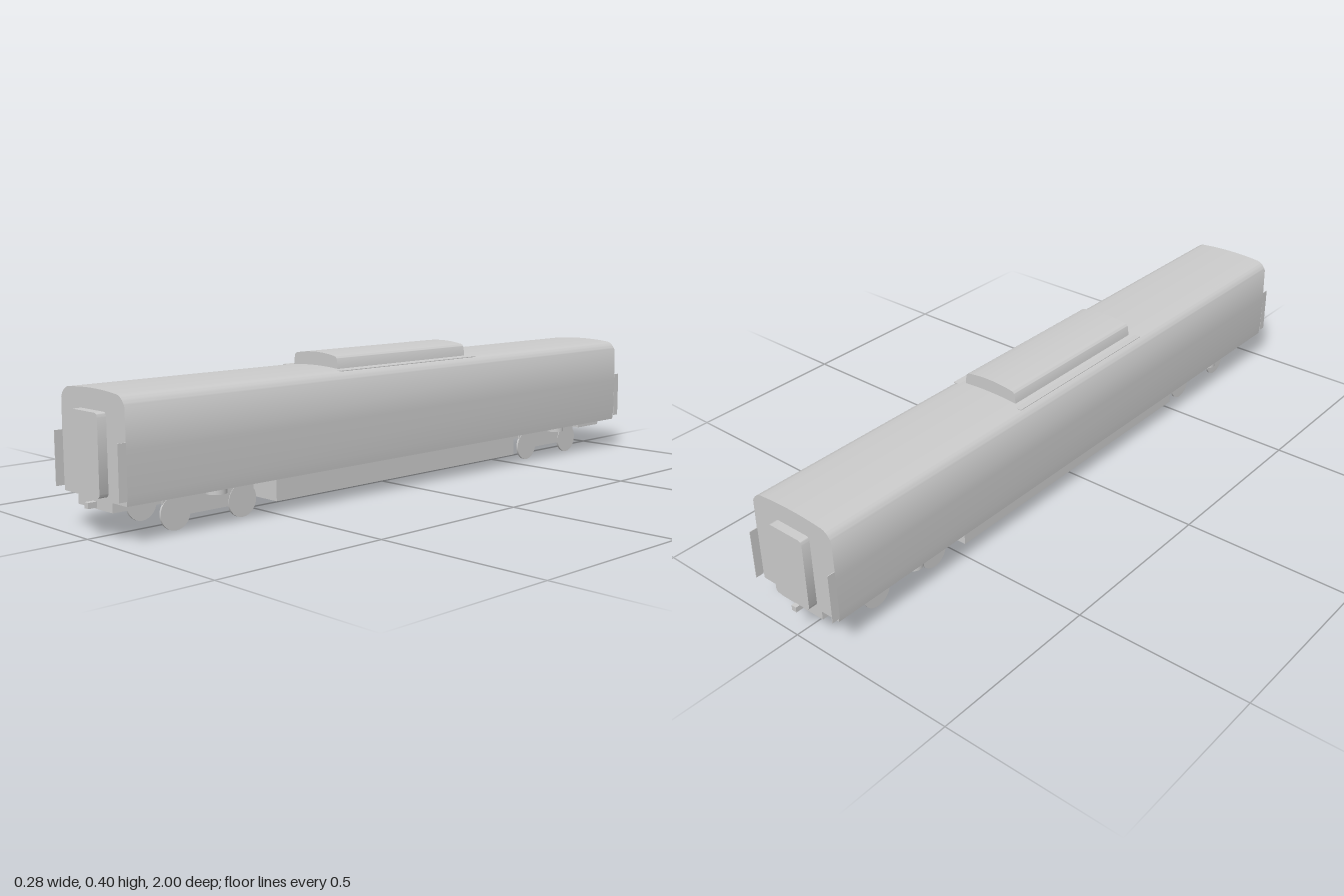
import * as THREE from 'three';
import { toCreasedNormals } from 'three/addons/utils/BufferGeometryUtils.js';

export function createModel() {
  const car = new THREE.Group();
  car.name = 'railCar';
  const grey = new THREE.MeshStandardMaterial({ color: 0xcccccc });
  const thin = new THREE.MeshStandardMaterial({ color: 0xcccccc, side: THREE.DoubleSide });

  const add = (name, geometry, x = 0, y = 0, z = 0, material = grey) => {
    const mesh = new THREE.Mesh(geometry, material);
    mesh.name = name;
    mesh.position.set(x, y, z);
    car.add(mesh);
    return mesh;
  };
  const box = (name, w, h, d, x, y, z) => add(name, new THREE.BoxGeometry(w, h, d), x, y, z);
  const extrude = (shape, depth) => {
    const g = new THREE.ExtrudeGeometry(shape, { depth, bevelEnabled: false, curveSegments: 10 });
    g.translate(0, 0, -depth / 2);
    return toCreasedNormals(g, 0.6);
  };

  // Body shell with slightly bowed sides and an arched roof
  const body = new THREE.Shape();
  body.moveTo(-0.136, 0.097);
  body.lineTo(0.136, 0.097);
  body.lineTo(0.139, 0.125);
  body.lineTo(0.14, 0.23);
  body.lineTo(0.138, 0.333);
  body.quadraticCurveTo(0.128, 0.355, 0.108, 0.3595);
  body.quadraticCurveTo(0, 0.371, -0.108, 0.3595);
  body.quadraticCurveTo(-0.128, 0.355, -0.138, 0.333);
  body.lineTo(-0.14, 0.23);
  body.lineTo(-0.139, 0.125);
  add('body', extrude(body, 1.95));

  // Roof equipment housing on a thin base plate
  const housing = new THREE.Shape();
  housing.moveTo(-0.091, 0.358);
  housing.lineTo(0.091, 0.358);
  housing.lineTo(0.087, 0.386);
  housing.quadraticCurveTo(0.085, 0.394, 0.075, 0.396);
  housing.quadraticCurveTo(0, 0.409, -0.075, 0.396);
  housing.quadraticCurveTo(-0.085, 0.394, -0.087, 0.386);
  add('roofHousing', extrude(housing, 0.52));
  box('roofPlate', 0.244, 0.002, 0.55, 0, 0.359, 0);

  // Underfloor skirt, open at the bottom
  for (const s of [-1, 1]) {
    add('skirtSide', new THREE.PlaneGeometry(0.98, 0.067).rotateY(Math.PI / 2), s * 0.1, 0.0635, 0, thin);
    add('skirtEnd', new THREE.PlaneGeometry(0.2, 0.067), 0, 0.0635, s * 0.49, thin);
  }

  // Gangway outline with rounded corners
  const w = 0.06, low = 0.107, high = 0.313, r = 0.013;
  const gangway = new THREE.Shape();
  gangway.moveTo(-w + r, low);
  gangway.lineTo(w - r, low);
  gangway.quadraticCurveTo(w, low, w, low + r);
  gangway.lineTo(w, high - r);
  gangway.quadraticCurveTo(w, high, w - r, high);
  gangway.lineTo(-w + r, high);
  gangway.quadraticCurveTo(-w, high, -w, high - r);
  gangway.lineTo(-w, low + r);
  gangway.quadraticCurveTo(-w, low, -w + r, low);
  const gangwayGeometry = extrude(gangway, 0.026);

  const wheel = new THREE.CylinderGeometry(0.045, 0.045, 0.006, 28).rotateZ(Math.PI / 2);
  const pad = new THREE.CylinderGeometry(0.028, 0.028, 0.013, 24);

  for (const end of [-1, 1]) {
    // End fittings
    add('gangway', gangwayGeometry, 0, 0, end * 0.987);
    box('couplerMount', 0.15, 0.026, 0.11, 0, 0.085, end * 0.92);
    box('coupler', 0.016, 0.015, 0.03, 0, 0.083, end * 0.985);

    // Bogie and corner fins on each side
    for (const side of [-1, 1]) {
      box('cornerFin', 0.002, 0.14, 0.023, side * 0.139, 0.18, end * 0.9865);
      box('bogieFrame', 0.004, 0.055, 0.285, side * 0.073, 0.0625, end * 0.69);
      add('suspensionPad', pad, side * 0.106, 0.0905, end * 0.692);
      for (const dz of [-0.105, 0.105])
        add('wheel', wheel, side * 0.0735, 0.045, end * 0.69 + dz);
    }
  }
  return car;
}
